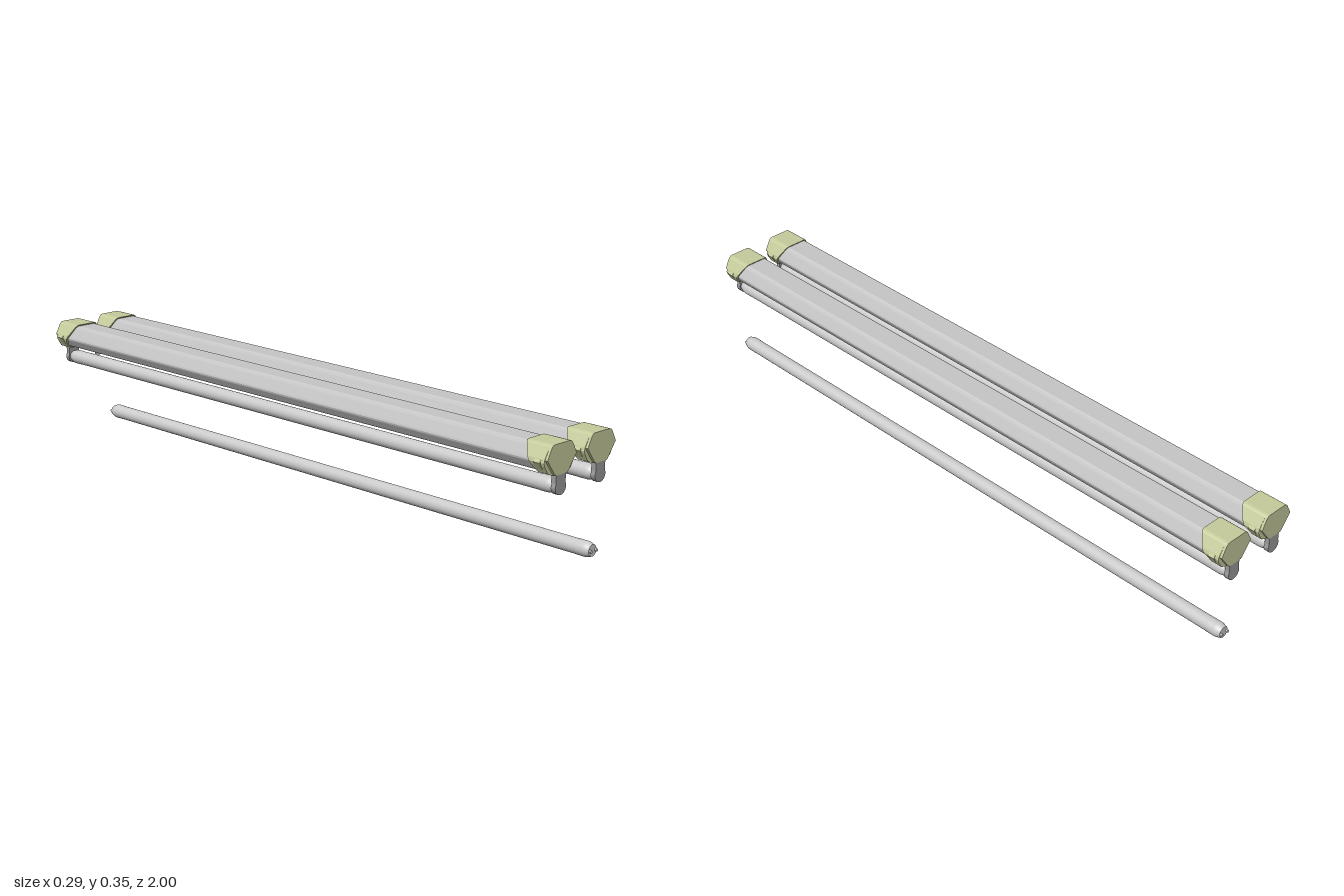
import * as THREE from 'three';

const mat = (name, color, side = THREE.FrontSide) => {
  const m = new THREE.MeshStandardMaterial({ color, side });
  m.name = name;
  return m;
};

// Mirrored outline from right-hand points listed top to bottom
function outline(points) {
  const all = [...points, ...points.slice().reverse().map(([x, y]) => [-x, y])];
  return new THREE.Shape(all.map(([x, y]) => new THREE.Vector2(x, y)));
}

function prism(shape, z0, z1) {
  const g = new THREE.ExtrudeGeometry(shape, { depth: z1 - z0, bevelEnabled: false, curveSegments: 12 });
  return g.translate(0, 0, z0);
}

export function createModel() {
  const root = new THREE.Group();
  root.name = 'tubeLights';
  const housingMat = mat('housing grey', 0xc6c6c6);
  const capMat = mat('end cap olive', 0xc6cb9c);
  const holderMat = mat('holder grey', 0x9b9b9b);
  const tubeMat = mat('tube grey', 0xcacaca);

  const add = (parent, name, geometry, material) => {
    const mesh = new THREE.Mesh(geometry, material);
    mesh.name = name;
    parent.add(mesh);
    return mesh;
  };

  // Lamp tube along z with stepped metal ends and two pins at each end
  function makeTube(name, y) {
    const tube = new THREE.Group();
    tube.name = name;
    const half = [[0, 0.984], [0.0165, 0.984], [0.0175, 0.981], [0.0205, 0.972], [0.0215, 0.966], [0.0215, 0.94], [0.021, 0.939]];
    const profile = [...half.map(([r, z]) => [r, -z]), ...half.slice().reverse()];
    // Each profile step is its own lathe band, so the steps stay sharp
    for (let i = 0; i < profile.length - 1; i++) {
      const band = [profile[i], profile[i + 1]].map(([r, z]) => new THREE.Vector2(r, z));
      add(tube, 'tubeBand', new THREE.LatheGeometry(band, 32).rotateX(Math.PI / 2), tubeMat);
    }
    for (const end of [-1, 1]) for (const x of [-0.0115, 0.0115]) {
      add(tube, 'contactPin', new THREE.CylinderGeometry(0.004, 0.004, 0.008, 12)
        .rotateX(Math.PI / 2).translate(x, 0, end * 0.986), tubeMat);
    }
    tube.position.y = y;
    return tube;
  }

  // Profiles of the housing, the cap shell and the raised cap face
  const housing = outline([[0.030, 0.344], [0.036, 0.341], [0.040, 0.335], [0.053, 0.308],
    [0.0545, 0.303], [0.053, 0.298], [0.041, 0.279], [0.036, 0.275], [0.022, 0.272]]);
  const capShell = outline([[0.030, 0.348], [0.036, 0.3465], [0.041, 0.342], [0.0585, 0.313],
    [0.061, 0.303], [0.058, 0.295], [0.045, 0.273], [0.040, 0.271], [0.030, 0.267], [0.022, 0.266]]);
  const capFace = outline([[0.030, 0.348], [0.036, 0.3465], [0.041, 0.342], [0.0575, 0.311],
    [0.028, 0.271], [0.022, 0.266]]);

  // Holder with a rounded foot
  const holder = new THREE.Shape();
  holder.moveTo(0.019, 0.272);
  holder.lineTo(-0.019, 0.272);
  holder.lineTo(-0.019, 0.243);
  holder.lineTo(-0.0215, 0.2325);
  holder.absarc(0, 0.2325, 0.0215, Math.PI, Math.PI * 2, false);
  holder.lineTo(0.019, 0.243);

  function makeEnd() {
    const end = new THREE.Group();
    end.name = 'fixtureEnd';
    // Cap shell whose inner edge slants back towards the top
    const shell = prism(capShell, 0.91, 0.992);
    const p = shell.attributes.position;
    for (let i = 0; i < p.count; i++) {
      if (p.getZ(i) < 0.95) p.setZ(i, 0.915 + (0.348 - p.getY(i)) * 0.6);
    }
    shell.computeVertexNormals();
    add(end, 'endCap', shell, capMat);
    add(end, 'endCapFace', prism(capFace, 0.992, 1), capMat);
    // Side clips at the widest corners
    const clip = outline([[0.057, 0.314], [0.0645, 0.303], [0.045, 0.274]]);
    add(end, 'sideClip', prism(clip, 0.96, 0.98), capMat);
    add(end, 'tubeHolder', prism(holder, 0.984, 0.9985), holderMat);
    return end;
  }

  // Two identical fixtures side by side
  for (const x of [-0.08, 0.08]) {
    const fixture = new THREE.Group();
    fixture.name = x > 0 ? 'leftFixture' : 'rightFixture';
    fixture.position.x = x;
    add(fixture, 'housing', prism(housing, -0.985, 0.985), housingMat);
    const front = makeEnd(), back = makeEnd();
    back.rotation.y = Math.PI;
    fixture.add(front, back, makeTube('fittedTube', 0.2325));
    // Starter knob below the housing near the back
    add(fixture, 'starter', new THREE.CylinderGeometry(0.011, 0.011, 0.014, 20).translate(0, 0.267, -0.86), holderMat);
    root.add(fixture);
  }

  // Spare tube lying below one fixture
  const spare = makeTube('spareTube', 0.0225);
  spare.position.x = 0.08;
  root.add(spare);
  return root;
}
